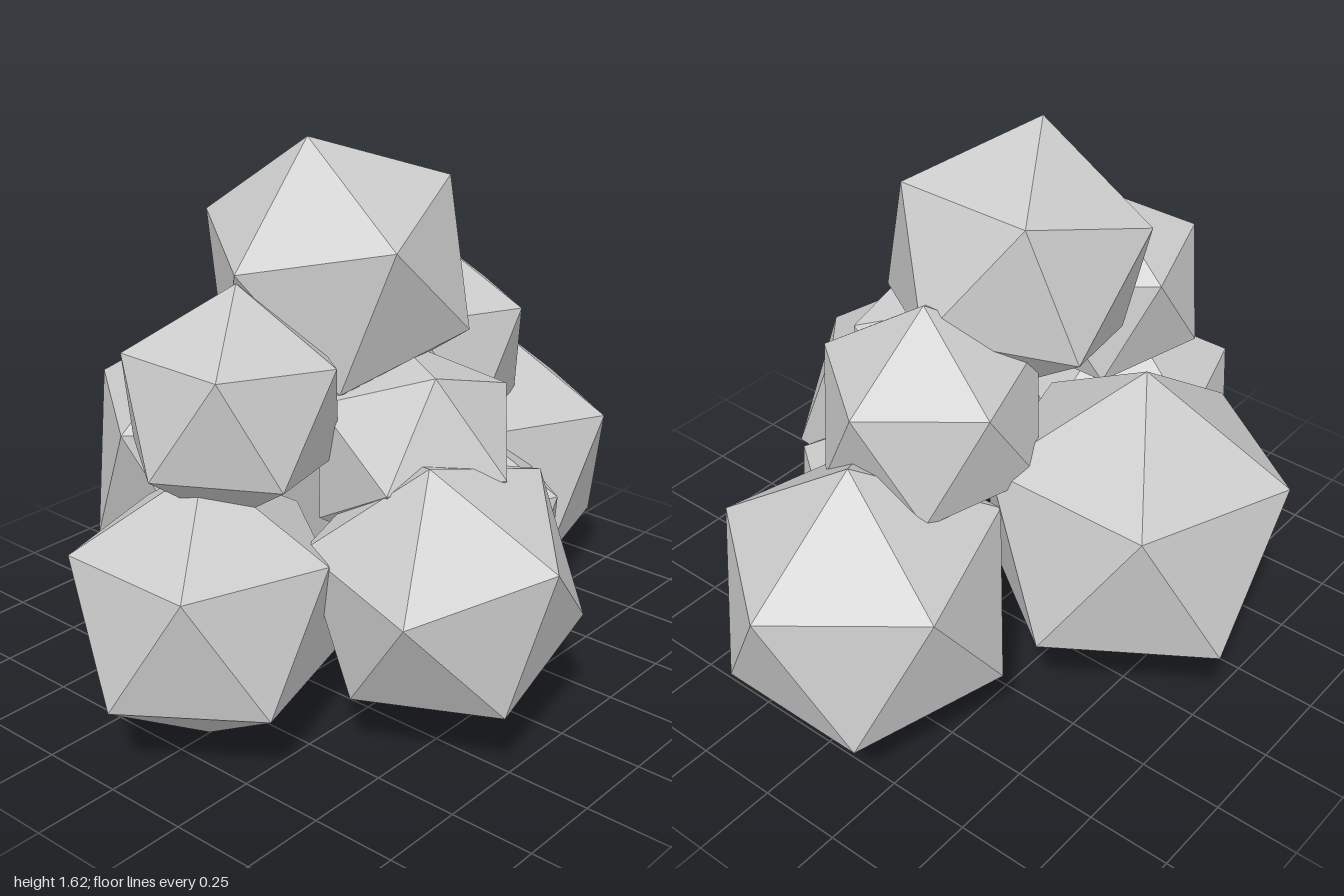
import * as THREE from 'three';

// Cluster of faceted boulders: name, radius, centre, rotation (radians)
const BOULDERS = [
  ['lowerLeftBoulder', 0.453, [0.575, 0.455, 0], [0, 0, -0.632]],
  ['lowerRightBoulder', 0.406, [-0.634, 0.411, 0], [0, 0, -0.57]],
  ['topBoulder', 0.405, [-0.094, 1.234, 0], [0, 0, 0.837]],
  ['upperLeftBoulder', 0.347, [0.275, 0.913, 0], [0, 0, -0.612]],
  ['upperRightBoulder', 0.33, [-0.515, 0.955, 0], [0, 0, -0.637]],
  ['backBoulder', 0.482, [-0.075, 0.553, -0.45], [0, 0, 0.614]],
  ['frontBoulder', 0.404, [-0.21, 0.473, 0.492], [0.142, -0.203, -0.246]],
  ['middleFrontBoulder', 0.318, [-0.107, 0.773, 0.29], [0, -0.554, -1.571]],
  ['smallFrontBoulder', 0.27, [0.21, 0.44, 0.28], [0, 0, -0.58]],
];

export function createModel() {
  const group = new THREE.Group();
  group.name = 'boulderCluster';
  const material = new THREE.MeshStandardMaterial({ color: 0xcccccc, flatShading: true });

  for (const [name, radius, position, rotation] of BOULDERS) {
    const boulder = new THREE.Mesh(new THREE.IcosahedronGeometry(radius, 0), material);
    boulder.name = name;
    boulder.position.set(...position);
    boulder.rotation.set(...rotation);
    group.add(boulder);
  }
  return group;
}
